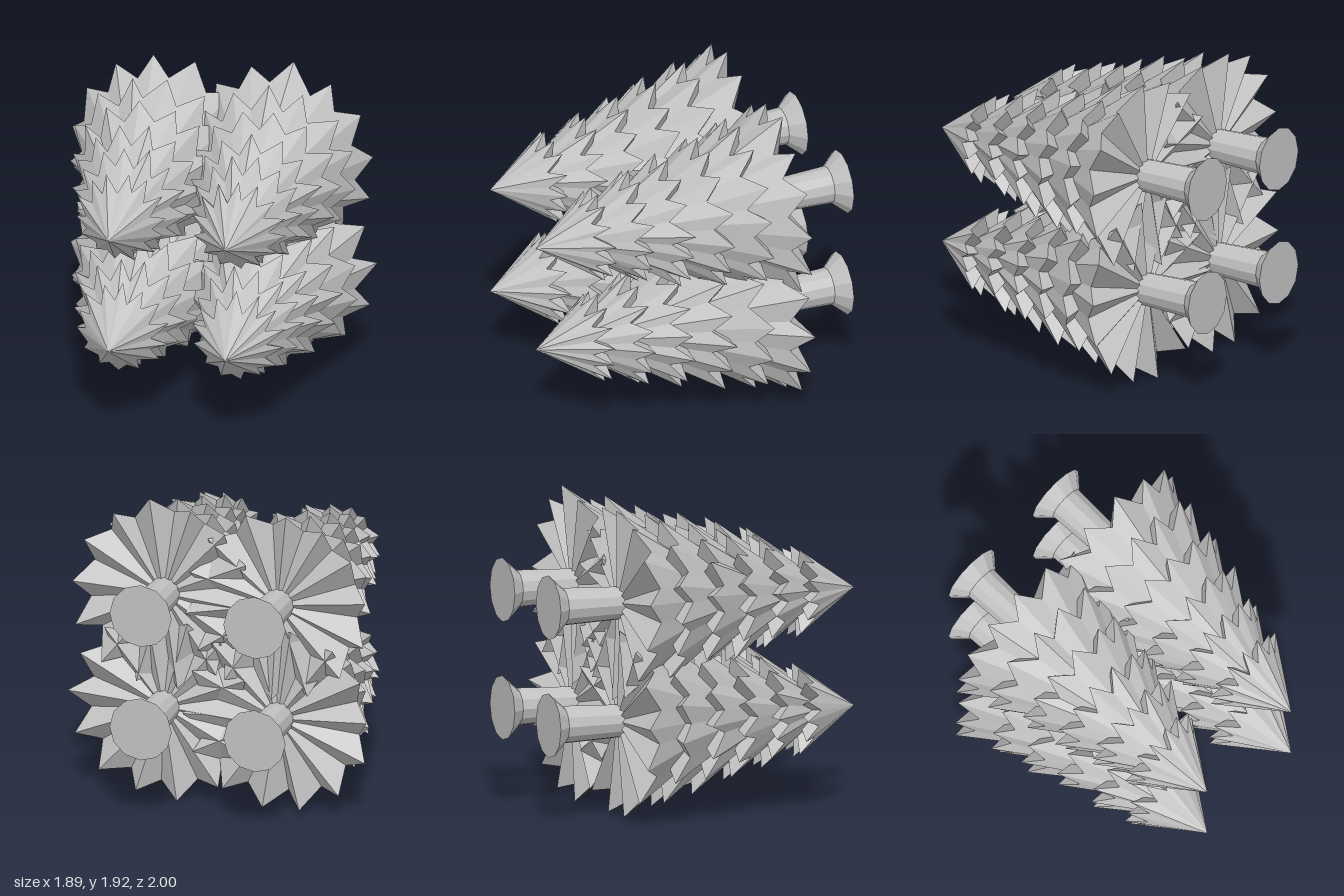
import * as THREE from 'three';

const SPIKES = 14;
const TIERS = 6;

// Small seeded generator for the irregular branch tips
function seeded(seed) {
  let s = seed;
  return () => {
    s = (s * 16807) % 2147483647;
    return s / 2147483647;
  };
}

// One tier: a cone with a zigzag rim, closed at the back by a pleated fan
function tierGeometry(radius, apexZ, tipZ, turn, rand) {
  const jitter = (a) => (rand() - 0.5) * 2 * a;
  const step = (Math.PI * 2) / SPIKES;
  const slope = radius / (apexZ - tipZ);
  const rim = [];
  for (let i = 0; i < SPIKES * 2; i++) {
    const isTip = i % 2 === 0;
    const a = turn + (i / 2) * step + jitter(0.05);
    const z = tipZ + (isTip ? 0 : 0.105) + jitter(0.012);
    // Notches sit slightly inside the cone so each tip has a soft ridge
    const r = (slope * (apexZ - z) - (isTip ? 0 : 0.04 * radius)) * (1 + jitter(0.03));
    rim.push([r * Math.cos(a), r * Math.sin(a), z]);
  }
  const apex = [0, 0, apexZ];
  const back = [0, 0, tipZ + 0.02];
  const pos = [];
  rim.forEach((p, i) => {
    const q = rim[(i + 1) % rim.length];
    pos.push(...apex, ...p, ...q, ...back, ...q, ...p);
  });
  const g = new THREE.BufferGeometry();
  g.setAttribute('position', new THREE.Float32BufferAttribute(pos, 3));
  g.computeVertexNormals();
  return g;
}

// Round section along z, from zFront to zBack
function section(rFront, rBack, zFront, zBack, open) {
  const g = new THREE.CylinderGeometry(rFront, rBack, zFront - zBack, 12, 1, open);
  g.rotateX(Math.PI / 2);
  g.translate(0, 0, (zFront + zBack) / 2);
  return g;
}

function makeTree(material, seed, turnDegrees) {
  const tree = new THREE.Group();
  const rand = seeded(seed);
  const add = (name, geometry) => {
    const mesh = new THREE.Mesh(geometry, material);
    mesh.name = name;
    tree.add(mesh);
  };

  // Foliage, from the pointed front tier to the widest back tier
  for (let k = 0; k < TIERS; k++) {
    const tipZ = 0.59 - k * 0.233;
    const stagger = ((TIERS - 1 - k) % 2) * (Math.PI / SPIKES);
    const turn = THREE.MathUtils.degToRad(turnDegrees) + stagger;
    add('foliageTier' + (k + 1), tierGeometry(0.288 + k * 0.06, 1 - k * 0.14, tipZ, turn, rand));
  }

  // Trunk and flared foot
  add('trunk', section(0.095, 0.115, -0.4, -0.91, true));
  add('trunkFoot', section(0.115, 0.197, -0.91, -1, false));
  return tree;
}

export function createModel() {
  const model = new THREE.Group();
  model.name = 'treeCluster';
  const grey = new THREE.MeshStandardMaterial({ color: 0xc0c0c0, flatShading: true });
  grey.name = 'plainGrey';

  // Four trees lying on their sides in a two by two block
  const places = [
    ['upperLeftTree', 0.365, 1.32, 3],
    ['upperRightTree', -0.358, 1.32, -8],
    ['lowerLeftTree', 0.365, 0.598, 3],
    ['lowerRightTree', -0.358, 0.598, -3],
  ];
  places.forEach(([name, x, y, turn], i) => {
    const tree = makeTree(grey, 1234 + i * 7919, turn);
    tree.name = name;
    tree.position.set(x, y, 0);
    model.add(tree);
  });
  return model;
}
